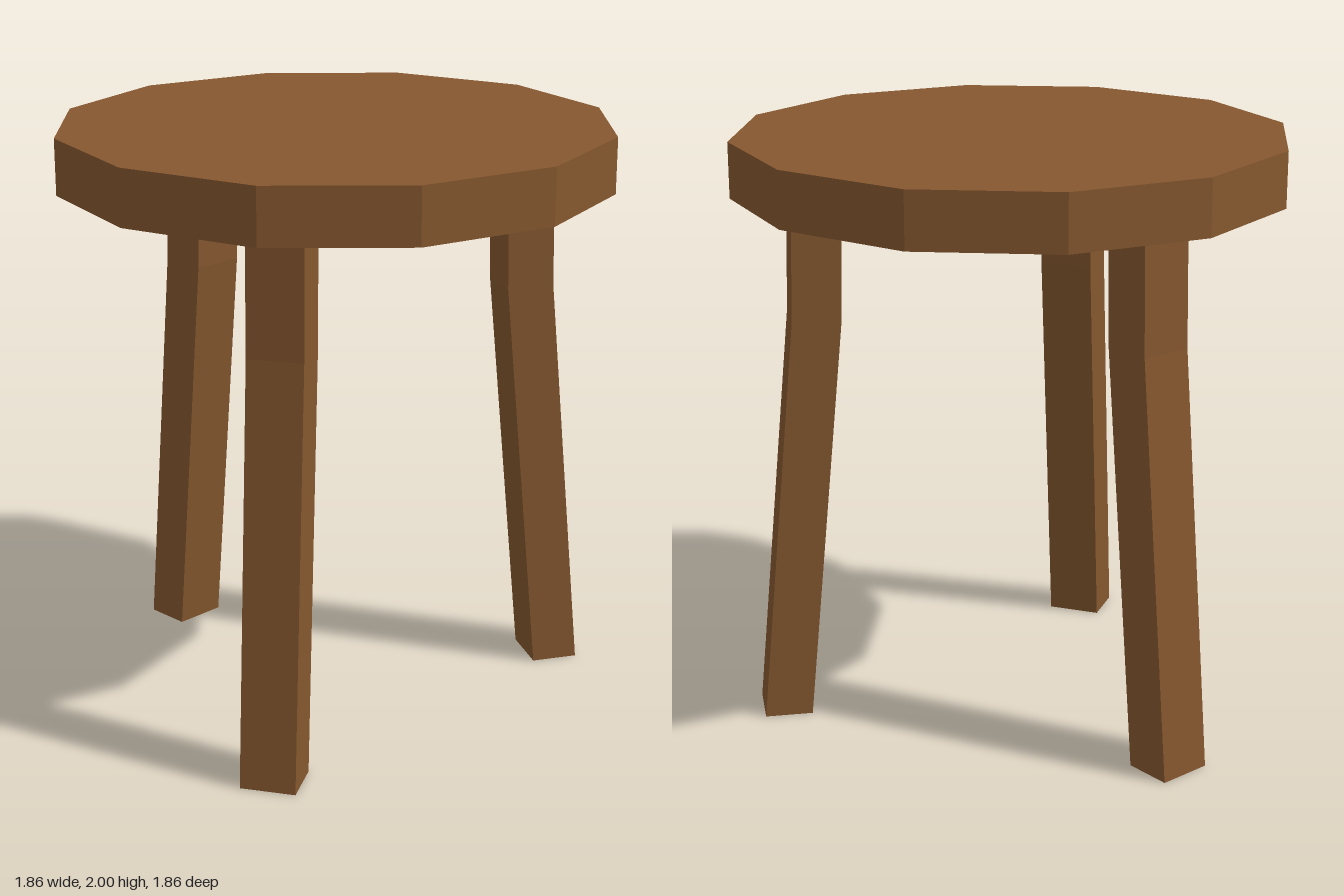
import * as THREE from 'three';

export function createModel() {
  const model = new THREE.Group();
  model.name = 'stool';

  const wood = new THREE.MeshStandardMaterial({ color: 0x85572f, flatShading: true });
  wood.name = 'brown wood';

  // Twelve-sided slab seat
  const seat = new THREE.Mesh(new THREE.CylinderGeometry(0.928, 0.928, 0.186, 12), wood);
  seat.name = 'seat';
  seat.position.y = 1.907;
  model.add(seat);

  // Leg side profile: x is the distance from the centre, splayed below the bend
  const profile = new THREE.Shape([
    [0.72, 0], [0.882, 0], [0.748, 1.41], [0.738, 1.82], [0.574, 1.82], [0.584, 1.41],
  ].map(([r, y]) => new THREE.Vector2(r, y)));
  const width = 0.186;
  const legGeometry = new THREE.ExtrudeGeometry(profile, { depth: width, bevelEnabled: false });
  legGeometry.translate(0, 0, -width / 2);

  // Three legs, evenly spaced around the seat
  const angles = { rightLeg: Math.PI, frontLeftLeg: -Math.PI / 3, backLeftLeg: Math.PI / 3 };
  for (const [name, angle] of Object.entries(angles)) {
    const leg = new THREE.Mesh(legGeometry, wood);
    leg.name = name;
    leg.rotation.y = angle;
    model.add(leg);
  }

  return model;
}
